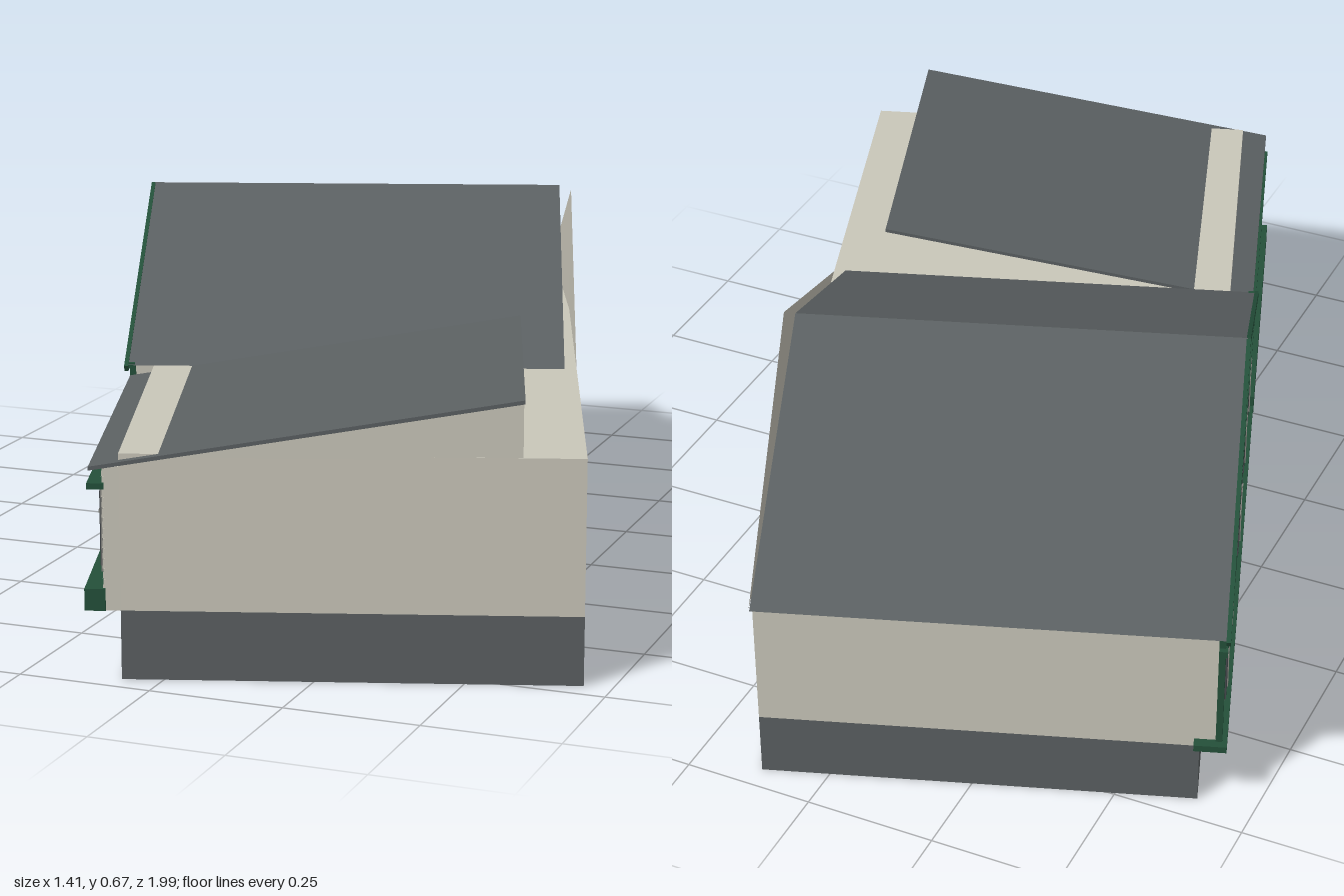
import * as THREE from 'three';

const mat = (name, color) => new THREE.MeshStandardMaterial({ name, color, side: THREE.DoubleSide });

export function createModel() {
  const cream = mat('cream wall', 0xcac7ba);
  const slate = mat('slate grey', 0x5b6062);
  const green = mat('dark green trim', 0x24503a);
  const glass = mat('window glass', 0x45494c);
  const frame = mat('window frame', 0x85857f);

  // The house is laid out square (facade faces -x, length along z), then turned.
  const house = new THREE.Group();
  house.name = 'house';
  house.rotation.y = 0.3255;

  const add = (name, geo, m, parent = house) => {
    const mesh = new THREE.Mesh(geo, m);
    mesh.name = name;
    parent.add(mesh);
    return mesh;
  };
  const group = (name) => {
    const g = new THREE.Group();
    g.name = name;
    house.add(g);
    return g;
  };
  const toShape = (pts) => new THREE.Shape(pts.map(([a, b]) => new THREE.Vector2(a, b)));
  const extrude = (shape, depth) => new THREE.ExtrudeGeometry(shape, { depth, bevelEnabled: false, curveSegments: 8 });

  // Footprint slab between two heights
  const plan = (name, shape, y0, y1, m) => {
    add(name, extrude(shape, y1 - y0).rotateX(Math.PI / 2), m).position.y = y1;
  };
  // Profile in (z, y), extruded outward from x towards the facade
  const profile = (name, shape, x, depth, m, parent) => {
    add(name, extrude(shape, depth).rotateY(-Math.PI / 2), m, parent).position.x = x;
  };
  // Box on the facade: outer face at x, centred at z, from y0 to y1
  const plate = (name, m, x, depth, z, w, y0, y1, parent) => {
    const b = add(name, new THREE.BoxGeometry(depth, y1 - y0, w), m, parent);
    b.position.set(x + depth / 2, (y0 + y1) / 2, z);
    return b;
  };
  // Slanted beam between two (z, y) points
  const beam = (name, m, x, depth, [z0, y0], [z1, y1], t, parent) => {
    const len = Math.hypot(z1 - z0, y1 - y0);
    const b = add(name, new THREE.BoxGeometry(depth, t, len), m, parent);
    b.position.set(x + depth / 2, (y0 + y1) / 2, (z0 + z1) / 2);
    b.rotation.x = -Math.atan2(y1 - y0, z1 - z0);
  };

  // Foundation (hollow underneath) and main walls
  const foot = [[-0.386, -0.867], [0.419, -0.867], [0.438, -0.327], [0.436, 0.893], [-0.374, 0.887]];
  const ring = toShape(foot);
  ring.holes.push(new THREE.Path(foot.map(([a, b]) => new THREE.Vector2(a * 0.993, b * 0.997))));
  plan('foundation', ring, 0, 0.125, slate);
  plan('foundationCeiling', toShape(foot), 0.12, 0.126, slate);
  plan('walls', toShape(foot), 0.126, 0.41, cream);

  // Main gabled roof
  const ridge = -0.347, eaveA = -0.916, eaveB = 0.22;
  profile('mainRoof', toShape([[eaveA, 0.41], [ridge, 0.67], [eaveB, 0.41], [eaveB - 0.02, 0.41],
    [ridge, 0.659], [eaveA + 0.02, 0.41]]), 0.414, 0.844, slate);

  // Rear gable follows the bend of the rear wall
  const gable = new THREE.BufferGeometry();
  gable.setAttribute('position', new THREE.Float32BufferAttribute([
    0.437, 0.41, 0.215, 0.438, 0.41, -0.327, 0.438, 0.663, -0.335,
    0.438, 0.41, -0.327, 0.416, 0.41, -0.91, 0.438, 0.663, -0.335], 3));
  gable.computeVertexNormals();
  add('rearGable', gable, cream);

  // Lean-to roof, low at the facade, with its end wall
  const lean = extrude(toShape([[-0.425, 0.39], [0.328, 0.515], [0.328, 0.508], [-0.425, 0.383]]), 0.683);
  add('leanRoof', lean, slate).position.z = 0.22;
  const end = extrude(toShape([[-0.31, 0.405], [0.326, 0.405], [0.326, 0.508]]), 0.004);
  add('leanEndWall', end, cream).position.z = 0.887;

  // Facade slabs and front gable
  const mid = -0.332, half = 0.535;
  plate('gableFacade', cream, -0.415, 0.04, mid, half * 2, 0.13, 0.41);
  plate('leanFacade', cream, -0.4, 0.03, 0.545, 0.684, 0.126, 0.386);
  profile('frontGable', toShape([[eaveA + 0.03, 0.41], [ridge, 0.658], [eaveB - 0.03, 0.41]]), -0.385, 0.03, cream);

  // Overlapping clapboards
  const boards = group('clapboards');
  for (let i = 0; i < 14; i++) {
    const y = 0.146 + i * 0.0185;
    plate('gableBoard', cream, -0.419, 0.005, mid, half * 2, y, y + 0.0175, boards).rotation.z = -0.1;
    if (i < 13) plate('leanBoard', cream, -0.404, 0.005, 0.545, 0.68, y, Math.min(y + 0.0175, 0.385), boards).rotation.z = -0.1;
  }

  // Green timber frame of the gable facade
  const timber = group('timberFrame');
  plate('sill', green, -0.436, 0.06, mid, 1.11, 0.13, 0.143, timber);
  plate('middleRail', green, -0.431, 0.015, mid, 1.1, 0.345, 0.358, timber);
  plate('topRail', green, -0.429, 0.013, mid, 1.1, 0.403, 0.414, timber);
  for (const s of [-1, 1]) {
    plate('cornerPost', green, -0.427, 0.012, mid + s * 0.53, 0.02, 0.143, 0.41, timber);
    plate('innerPost', green, -0.427, 0.012, mid + s * 0.35, 0.02, 0.143, 0.41, timber);
    plate('shortPost', green, -0.427, 0.012, mid + s * 0.17, 0.02, 0.355, 0.41, timber);
    for (const c of [0.26, 0.44]) {
      const a = mid + s * c - 0.085, b = mid + s * c + 0.085;
      beam('brace', green, -0.426, 0.01, [a, 0.358], [b, 0.404], 0.011, timber);
      beam('brace', green, -0.426, 0.01, [a, 0.404], [b, 0.358], 0.011, timber);
    }
    beam('bargeboard', green, -0.436, 0.008, [ridge + s * 0.57, 0.404], [ridge, 0.664], 0.013, timber);
  }

  // Tall windows with glazing bars
  const windows = group('windows');
  const tallWindow = (x, z, w) => {
    plate('windowFrame', frame, x, 0.008, z, w, 0.185, 0.337, windows);
    plate('windowGlass', glass, x - 0.003, 0.004, z, w - 0.02, 0.193, 0.329, windows);
    plate('windowMullion', frame, x - 0.005, 0.003, z, 0.007, 0.193, 0.329, windows);
    plate('windowTransom', frame, x - 0.005, 0.003, z, w - 0.02, 0.29, 0.294, windows);
  };
  for (const c of [-0.44, -0.26, 0.26, 0.44]) tallWindow(-0.426, mid + c, 0.098);
  for (let i = 0; i < 6; i++) tallWindow(-0.411, 0.25 + i * 0.111, 0.085);

  // Door
  const door = group('door');
  plate('doorPanel', green, -0.428, 0.012, mid - 0.015, 0.19, 0.143, 0.345, door);
  plate('doorGlass', glass, -0.431, 0.004, mid - 0.015, 0.1, 0.205, 0.335, door);
  plate('doorMullion', frame, -0.433, 0.003, mid - 0.015, 0.007, 0.205, 0.335, door);
  plate('doorTransom', frame, -0.433, 0.003, mid - 0.015, 0.1, 0.3, 0.304, door);

  // Pointed gable window
  const arch = group('archedWindow');
  const pointed = (w, y0, spring, top) => {
    const s = new THREE.Shape();
    s.moveTo(ridge - w, y0).lineTo(ridge + w, y0).lineTo(ridge + w, spring);
    s.quadraticCurveTo(ridge + w * 0.85, spring + (top - spring) * 0.6, ridge, top);
    s.quadraticCurveTo(ridge - w * 0.85, spring + (top - spring) * 0.6, ridge - w, spring);
    return s;
  };
  profile('archFrame', pointed(0.14, 0.432, 0.545, 0.632), -0.414, 0.01, green, arch);
  profile('archGlass', pointed(0.117, 0.44, 0.545, 0.617), -0.42, 0.007, glass, arch);
  plate('archMullion', green, -0.43, 0.004, ridge, 0.01, 0.44, 0.612, arch);
  plate('archTransom', frame, -0.43, 0.004, ridge, 0.23, 0.503, 0.509, arch);

  // Lean-to trim: rail and planter
  plate('leanRail', green, -0.43, 0.03, 0.545, 0.69, 0.346, 0.357);
  plate('planter', green, -0.437, 0.037, 0.545, 0.69, 0.126, 0.166);

  const model = new THREE.Group();
  model.name = 'building';
  model.add(house);
  return model;
}
